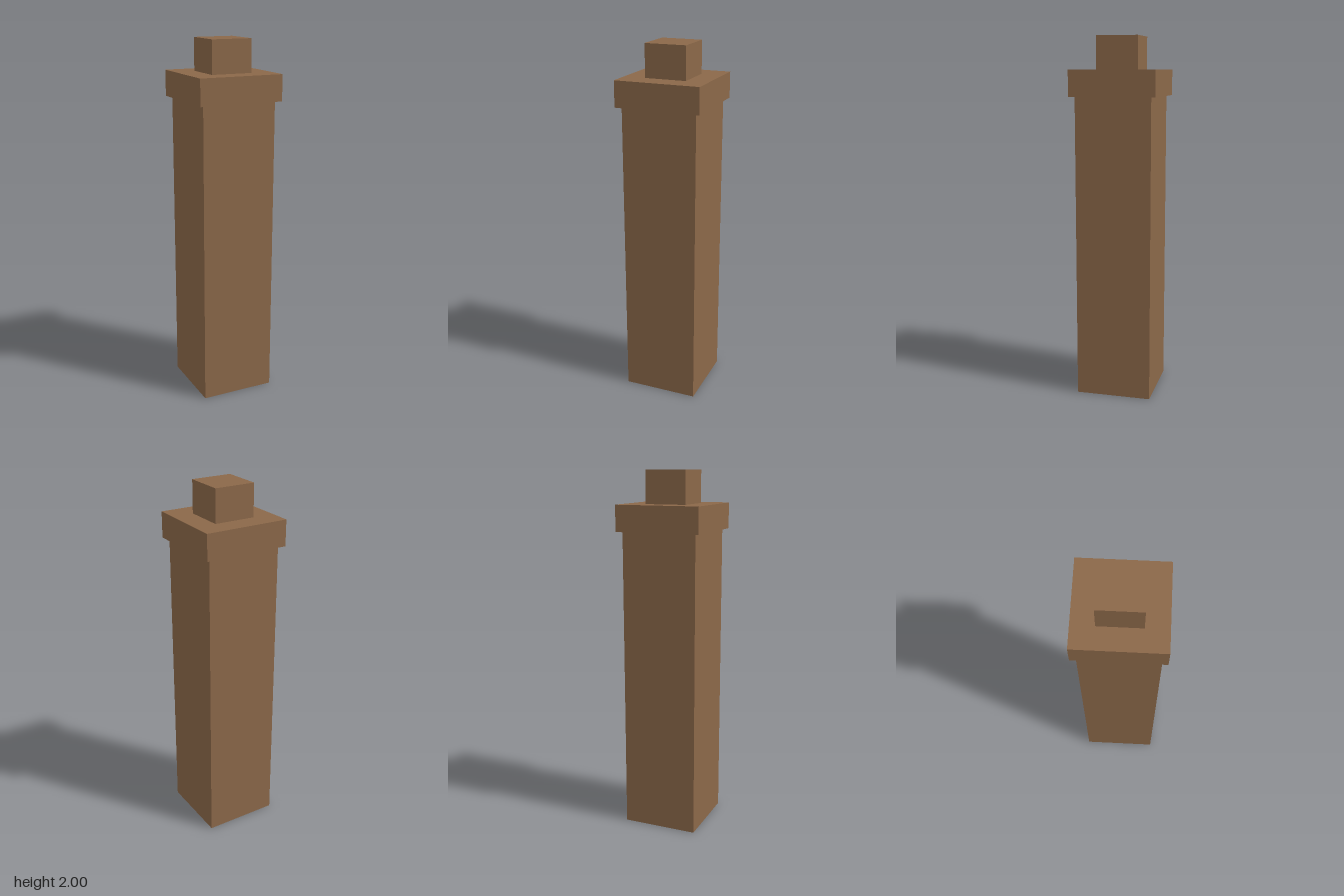
import * as THREE from 'three';

export function createModel() {
  const group = new THREE.Group();
  group.name = 'squarePost';
  const material = new THREE.MeshStandardMaterial({ color: 0x8b6849, flatShading: true });

  // Square block centred on the axis, from one height to another
  const addBlock = (name, width, bottom, top) => {
    const mesh = new THREE.Mesh(new THREE.BoxGeometry(width, top - bottom, width), material);
    mesh.name = name;
    mesh.position.y = (bottom + top) / 2;
    group.add(mesh);
  };

  addBlock('shaft', 0.418, 0, 1.677);
  addBlock('cap', 0.473, 1.677, 1.82);
  addBlock('finial', 0.23, 1.82, 2);

  return group;
}
